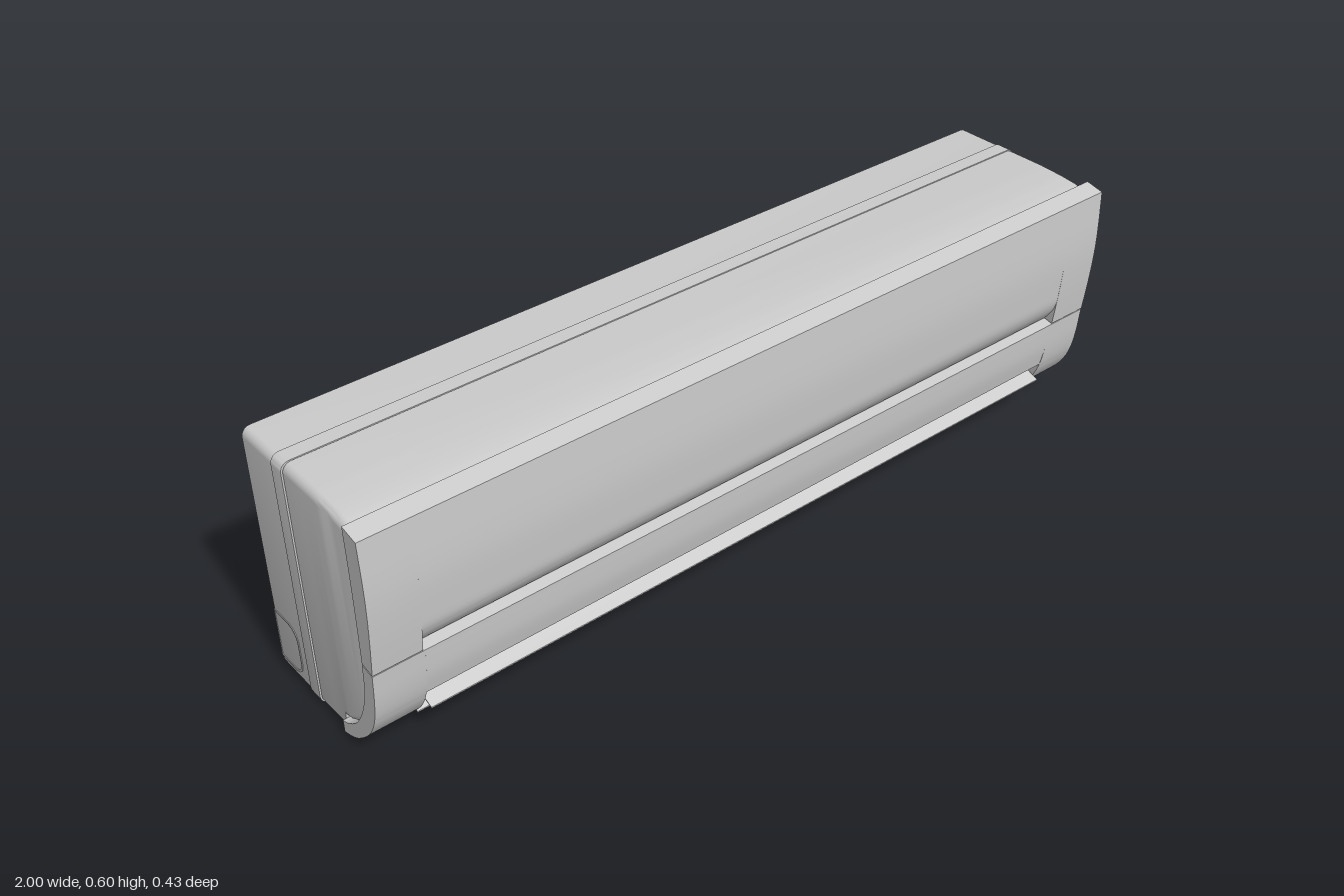
import * as THREE from 'three';
import { toCreasedNormals } from 'three/addons/utils/BufferGeometryUtils.js';

const material = new THREE.MeshStandardMaterial({ color: 0xcccccc });

function add(group, name, geometry) {
  const mesh = new THREE.Mesh(geometry, material);
  mesh.name = name;
  group.add(mesh);
  return mesh;
}

// Smooth curve through [z, y] points
const curve = (pts, n = 20) =>
  new THREE.SplineCurve(pts.map(([z, y]) => new THREE.Vector2(z, y))).getPoints(n).map(p => [p.x, p.y]);

// Side profile in [z, y], swept along x from x0 to x1
function sweep(profile, x0, x1) {
  const shape = new THREE.Shape(profile.map(([z, y]) => new THREE.Vector2(z, y)));
  const g = new THREE.ExtrudeGeometry(shape, { depth: x1 - x0, bevelEnabled: false });
  g.rotateY(-Math.PI / 2).translate(x1, 0, 0);
  return toCreasedNormals(g, 0.4);
}

// Rounded-rectangle cross-sections [z, bottom, top, halfWidth] joined along z
function loft(sections, r = 0.02, steps = 5) {
  const pos = [], index = [], n = 4 * (steps + 1);
  for (const [z, y0, y1, w] of sections) {
    for (let c = 0; c < 4; c++) {
      const cx = (c === 0 || c === 3 ? 1 : -1) * (w - r);
      const cy = c < 2 ? y1 - r : y0 + r;
      for (let k = 0; k <= steps; k++) {
        const a = (c + k / steps) * Math.PI / 2;
        pos.push(cx + r * Math.cos(a), cy + r * Math.sin(a), z);
      }
    }
  }
  const last = sections.length - 1;
  for (let i = 0; i < last; i++) {
    for (let j = 0; j < n; j++) {
      const a = i * n + j, b = i * n + (j + 1) % n;
      index.push(a, b, b + n, a, b + n, a + n);
    }
  }
  for (let j = 1; j < n - 1; j++) {
    index.push(0, j + 1, j, last * n, last * n + j, last * n + j + 1);
  }
  const g = new THREE.BufferGeometry();
  g.setAttribute('position', new THREE.Float32BufferAttribute(pos, 3));
  g.setIndex(index);
  return toCreasedNormals(g, 0.5);
}

// Hatch outline: open towards the wall, rounded at the front; u runs forwards from the back edge
function hatchShape(depth, width, r, inset) {
  const d = depth - inset, a = inset, b = width - inset;
  const s = new THREE.Shape();
  s.moveTo(0, a);
  s.lineTo(d - r, a);
  s.quadraticCurveTo(d, a, d, a + r);
  s.lineTo(d, b - r);
  s.quadraticCurveTo(d, b, d - r, b);
  s.lineTo(0, b);
  s.closePath();
  return s;
}

export function createModel() {
  const model = new THREE.Group();
  model.name = 'wallAirConditioner';

  // Housing: rear shell, raised joint band and front shell
  add(model, 'rearShell', loft([[-0.213, 0.004, 0.604, 0.993], [-0.098, 0.004, 0.604, 0.993]]));
  add(model, 'jointBand', loft([[-0.099, 0.002, 0.606, 0.995], [-0.061, 0.002, 0.606, 0.995]]));
  add(model, 'jointGroove', loft([[-0.064, 0.008, 0.6, 0.988], [-0.055, 0.008, 0.6, 0.988]]));
  add(model, 'frontShell', loft([
    [-0.059, 0.004, 0.605, 0.992], [0, 0.005, 0.605, 0.992], [0.039, 0.008, 0.605, 0.992],
    [0.04, 0.038, 0.605, 0.992], [0.06, 0.043, 0.604, 0.992], [0.08, 0.055, 0.603, 0.992],
    [0.1, 0.073, 0.602, 0.992], [0.12, 0.1, 0.6, 0.992], [0.14, 0.14, 0.598, 0.992],
    [0.15, 0.17, 0.596, 0.992], [0.16, 0.23, 0.594, 0.992], [0.164, 0.28, 0.593, 0.992],
  ]));

  // Upper front panel with a finger recess along its lower edge
  const upperInner = curve([[0.164, 0.277], [0.167, 0.4], [0.168, 0.5], [0.167, 0.603]], 10);
  const upperOuter = curve([[0.212, 0.593], [0.215, 0.5], [0.214, 0.43], [0.208, 0.35], [0.199, 0.27]]);
  const recessOuter = [
    ...curve([[0.212, 0.593], [0.215, 0.5], [0.214, 0.43], [0.2065, 0.337]], 14),
    ...curve([[0.204, 0.325], [0.196, 0.305], [0.182, 0.284], [0.175, 0.275]], 8),
  ];
  add(model, 'upperPanel', sweep([...upperInner, ...recessOuter], -0.89, 0.89));
  for (const s of [-1, 1]) {
    const [x0, x1] = s < 0 ? [-1, -0.89] : [0.89, 1];
    add(model, 'upperPanelEnd', sweep([...upperInner, ...upperOuter], x0, x1));
  }

  // Lower front panel: curved cheeks either side of the air outlet
  const lowerOuter = curve([[0.198, 0.267], [0.192, 0.2], [0.182, 0.148], [0.166, 0.109],
    [0.14, 0.072], [0.1, 0.035], [0.07, 0.018], [0.04, 0.008]], 32);
  const lowerInner = curve([[0.04, 0.039], [0.062, 0.047], [0.1, 0.077], [0.13, 0.123],
    [0.152, 0.18], [0.159, 0.22], [0.163, 0.274]], 28);
  for (const s of [-1, 1]) {
    const [x0, x1] = s < 0 ? [-1, -0.885] : [0.885, 1];
    add(model, 'outletCheek', sweep([...lowerOuter, ...lowerInner], x0, x1));
  }
  add(model, 'lowerPanel', sweep([
    ...curve([[0.198, 0.267], [0.192, 0.2], [0.181, 0.146]], 12),
    ...curve([[0.138, 0.146], [0.152, 0.18], [0.159, 0.22], [0.163, 0.274]], 10),
  ], -0.885, 0.885));
  add(model, 'outletLip', sweep([[0.04, 0.008], [0.07, 0.018], [0.094, 0.032], [0.09, 0.036],
    [0.06, 0.044], [0.04, 0.039]], -0.885, 0.885));

  // Horizontal louvres
  add(model, 'upperLouvre', sweep([[0.184, 0.102], [0.184, 0.105], [0.105, 0.137], [0.105, 0.133]], -0.88, 0.88));
  add(model, 'lowerLouvre', sweep([[0.124, 0.046], [0.124, 0.049], [0.07, 0.074], [0.07, 0.07]], -0.88, 0.88));

  // Vertical guide vanes between the louvres, and louvre pivots
  for (let i = 0; i < 17; i++) {
    const x = (i - 8) * 0.105;
    add(model, 'guideVane', sweep([[0.09, 0.065], [0.122, 0.066], [0.148, 0.112], [0.12, 0.127]], x - 0.002, x + 0.002));
  }
  for (const [x, y, z] of [[-0.75, 0.1, 0.165], [-0.25, 0.1, 0.165], [0.25, 0.1, 0.165], [0.75, 0.1, 0.165],
    [-0.5, 0.062, 0.11], [0, 0.062, 0.11], [0.5, 0.062, 0.11]]) {
    const pivot = add(model, 'louvrePivot', new THREE.CylinderGeometry(0.004, 0.004, 0.012, 10));
    pivot.position.set(x, y, z);
  }

  // Pipe knock-out hatches on both sides and underneath
  const hatch = (depth, width) => {
    const rim = hatchShape(depth, width, 0.04, 0);
    rim.holes.push(hatchShape(depth, width, 0.038, 0.004));
    return new THREE.ExtrudeGeometry(rim, { depth: 0.002, bevelEnabled: false, curveSegments: 10 });
  };
  for (const s of [-1, 1]) {
    const side = hatch(0.09, 0.127).rotateY(-Math.PI / 2);
    add(model, 'sideHatch', side).position.set(s > 0 ? 0.9945 : -0.9925, 0.03, -0.213);
    const under = hatch(0.09, 0.15).rotateZ(Math.PI / 2).rotateX(Math.PI / 2);
    add(model, 'bottomHatch', under).position.set(s > 0 ? 0.97 : -0.82, 0.0045, -0.213);
  }
  return model;
}
